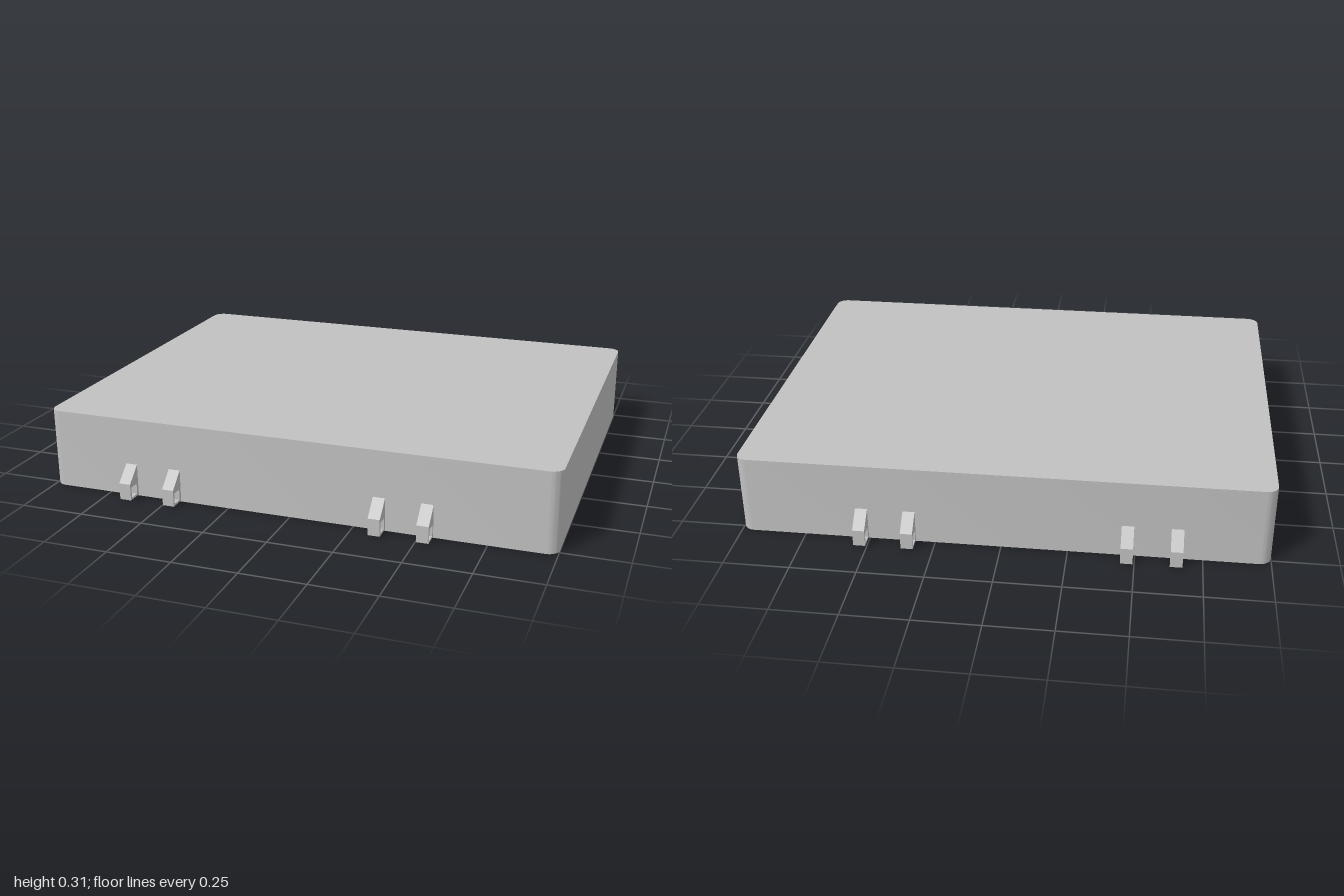
import * as THREE from 'three';
import { toCreasedNormals } from 'three/addons/utils/BufferGeometryUtils.js';

const HALF_X = 1, HALF_Z = 0.775, HEIGHT = 0.31, RADIUS = 0.045, WALL = 0.008;

// Traces a rounded rectangle onto a Shape or Path
function roundedRect(path, hx, hz, r) {
  path.moveTo(hx, -hz + r);
  path.absarc(hx - r, hz - r, r, 0, Math.PI / 2);
  path.absarc(-hx + r, hz - r, r, Math.PI / 2, Math.PI);
  path.absarc(-hx + r, -hz + r, r, Math.PI, Math.PI * 1.5);
  path.absarc(hx - r, -hz + r, r, Math.PI * 1.5, Math.PI * 2);
  return path;
}

// Extrudes a plan shape upwards from height y
function extrudeUp(shape, y, height) {
  const geo = new THREE.ExtrudeGeometry(shape, { depth: height, bevelEnabled: false, curveSegments: 8 });
  geo.rotateX(-Math.PI / 2);
  geo.translate(0, y, 0);
  return toCreasedNormals(geo, 0.6);
}

export function createModel() {
  const model = new THREE.Group();
  model.name = 'cover';
  const grey = new THREE.MeshStandardMaterial({ color: 0xc0c0c0 });
  grey.name = 'grey';

  const add = (name, geo, parent = model) => {
    const mesh = new THREE.Mesh(geo, grey);
    mesh.name = name;
    parent.add(mesh);
    return mesh;
  };

  // Thin side walls, open below
  const ring = roundedRect(new THREE.Shape(), HALF_X, HALF_Z, RADIUS);
  ring.holes.push(roundedRect(new THREE.Path(), HALF_X - WALL, HALF_Z - WALL, RADIUS - WALL));
  add('walls', extrudeUp(ring, 0, HEIGHT - WALL));

  // Closed top
  const plan = roundedRect(new THREE.Shape(), HALF_X, HALF_Z, RADIUS);
  add('topPanel', extrudeUp(plan, HEIGHT - WALL, WALL));

  // Strap loop: sloped side profile (z, y) with a square opening
  const profile = new THREE.Shape([
    [HALF_Z - 0.002, 0.004], [0.837, 0.004], [0.837, 0.069], [HALF_Z, 0.128], [HALF_Z - 0.002, 0.128],
  ].map(([z, y]) => new THREE.Vector2(z, y)));
  profile.holes.push(new THREE.Path([
    [0.787, 0.012], [0.787, 0.054], [0.828, 0.054], [0.828, 0.012],
  ].map(([z, y]) => new THREE.Vector2(z, y))));
  const width = 0.046;
  const loop = new THREE.ExtrudeGeometry(profile, { depth: width, bevelEnabled: false });
  loop.translate(0, 0, -width / 2);
  loop.rotateY(-Math.PI / 2);

  // Two pairs of loops on the front and the back
  for (const side of [1, -1]) {
    const row = new THREE.Group();
    row.name = side > 0 ? 'frontLoops' : 'backLoops';
    row.rotation.y = side > 0 ? 0 : Math.PI;
    for (const x of [-0.653, -0.471, 0.347, 0.528]) add('loop', loop, row).position.x = x * side;
    model.add(row);
  }
  return model;
}
